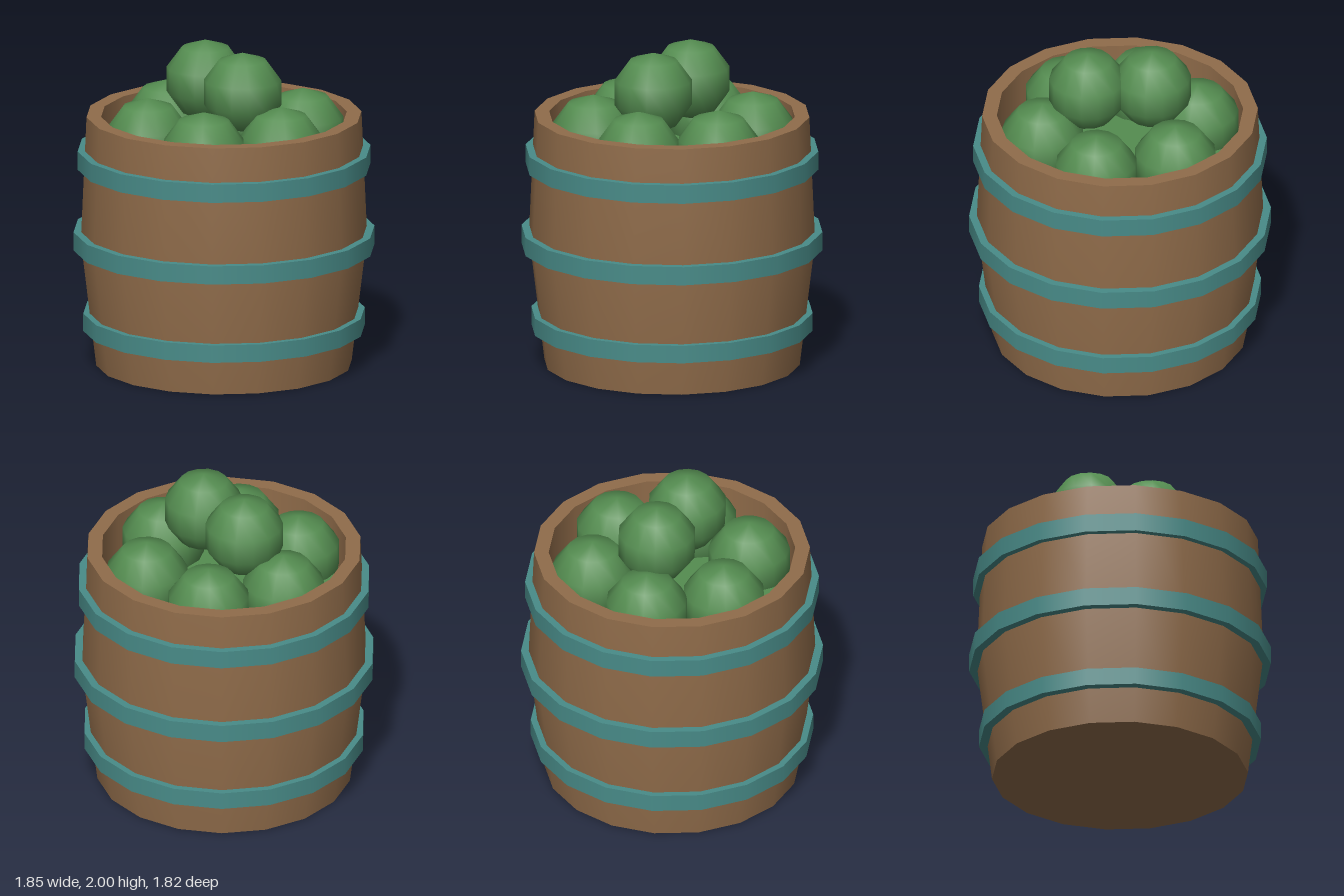
import * as THREE from 'three';
import { mergeGeometries } from 'three/addons/utils/BufferGeometryUtils.js';

const SIDES = 18;

function material(name, color) {
  const m = new THREE.MeshStandardMaterial({ color });
  m.name = name;
  return m;
}

// Revolved surface made of smooth strips with sharp edges between them.
function revolved(strips, sides = SIDES) {
  return mergeGeometries(strips.map((strip) => new THREE.LatheGeometry(
    strip.map(([r, y]) => new THREE.Vector2(r, y)), sides, Math.PI / 2)));
}

export function createModel() {
  const wood = material('brown wood', 0x906c4a);
  const metal = material('teal metal', 0x488b88);
  const skin = material('green fruit skin', 0x548c50);

  const model = new THREE.Group();
  model.name = 'fruitBarrel';
  const add = (name, geometry, mat) => {
    const mesh = new THREE.Mesh(geometry, mat);
    mesh.name = name;
    model.add(mesh);
    return mesh;
  };

  // Barrel shell: base, bulging wall, rim, inner wall
  add('barrel', revolved([
    [[0, 0], [0.785, 0]],
    [[0.785, 0], [0.88, 0.785], [0.845, 1.57]],
    [[0.845, 1.57], [0.755, 1.57]],
    [[0.755, 1.57], [0.755, 1.2]],
  ]), wood);

  // Three straight hoops
  [[0.22, 0.33, 0.865], [0.73, 0.845, 0.925], [1.24, 1.355, 0.9]].forEach(([y0, y1, r], i) => {
    const inner = r - 0.08;
    add(['lowerHoop', 'middleHoop', 'upperHoop'][i], revolved([
      [[inner, y0], [r, y0]],
      [[r, y0], [r, y1]],
      [[r, y1], [inner, y1]],
    ]), metal);
  });

  // Bed of fruit closing the barrel below the loose pieces
  add('fruitBed', revolved([
    [[0.8, 1.2], [0.71, 1.36]],
    [[0.71, 1.36], [0, 1.36]],
  ], 14), skin);

  // Ring of six fruit, then two resting on top
  const lowerFruit = new THREE.SphereGeometry(0.262, 14, 5);
  [[-0.48, 0.08], [-0.32, -0.38], [0.17, -0.47], [0.48, -0.09], [0.31, 0.37], [-0.17, 0.45]]
    .forEach(([x, z], i) => {
      const fruit = add('lowerFruit' + (i + 1), lowerFruit, skin);
      fruit.position.set(x, 1.44, z);
      fruit.rotation.y = Math.atan2(x, z);
    });

  const topFruit = new THREE.SphereGeometry(0.25, 14, 5);
  for (const side of [-1, 1]) {
    add(side < 0 ? 'topFruitRight' : 'topFruitLeft', topFruit, skin)
      .position.set(side * 0.197, 1.75, 0);
  }

  return model;
}
